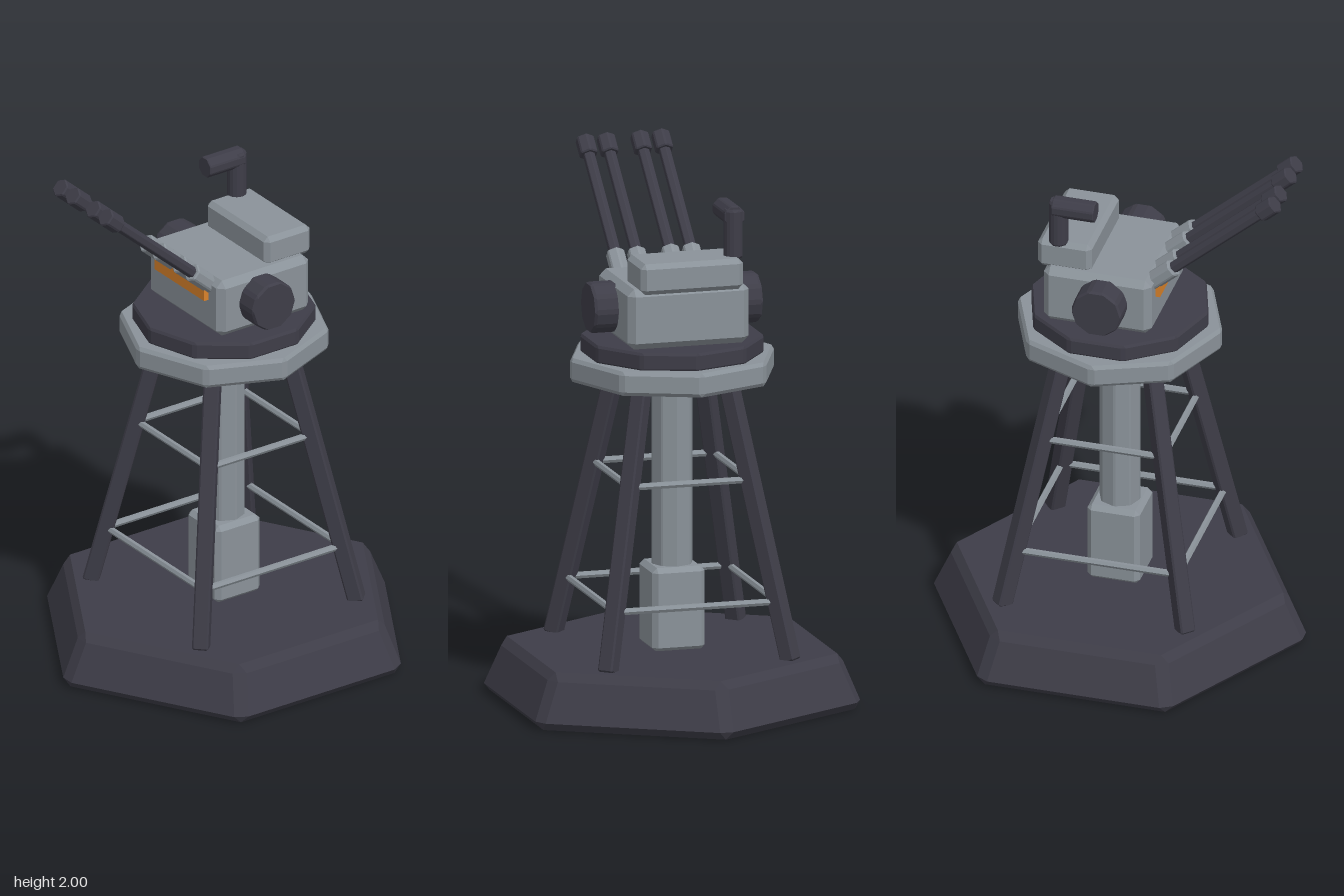
import * as THREE from 'three';
import { ConvexGeometry } from 'three/addons/geometries/ConvexGeometry.js';

const V = (x, y, z) => new THREE.Vector3(x, y, z);
const UP = V(0, 1, 0);

// Regular polygon with its first corner on +z
const ngon = (n, r, turn = 0) => Array.from({ length: n }, (_, i) => {
  const a = turn + (i / n) * Math.PI * 2;
  return V(Math.sin(a) * r, 0, Math.cos(a) * r);
});
const rect = (w, d) => [V(w / 2, 0, d / 2), V(w / 2, 0, -d / 2), V(-w / 2, 0, -d / 2), V(-w / 2, 0, d / 2)];

// Prism from y0 to y1 with every edge chamfered by b
function bevelled(bottom, top, y0, y1, b) {
  const points = [];
  for (const [corners, yEnd, yRing] of [[bottom, y0, y0 + b], [top, y1, y1 - b]]) {
    corners.forEach((c, i) => {
      const n = corners.length;
      const toPrev = corners[(i + n - 1) % n].clone().sub(c).setLength(b);
      const toNext = corners[(i + 1) % n].clone().sub(c).setLength(b);
      points.push(c.clone().add(toPrev).setY(yRing), c.clone().add(toNext).setY(yRing));
      points.push(c.clone().add(toPrev).add(toNext).setY(yEnd));
    });
  }
  return new ConvexGeometry(points);
}
const prism = (n, r, y0, y1, b, turn = 0) => bevelled(ngon(n, r, turn), ngon(n, r, turn), y0, y1, b);
const block = (w, d, y0, y1, b) => bevelled(rect(w, d), rect(w, d), y0, y1, b);

export function createModel() {
  const model = new THREE.Group();
  model.name = 'gunTower';

  const material = (name, color) => {
    const m = new THREE.MeshStandardMaterial({ color, flatShading: true });
    m.name = name;
    return m;
  };
  const dark = material('darkMetal', 0x3e3d48);
  const grey = material('greyMetal', 0x8a9299);
  const orange = material('orangeTrim', 0xd9822b);

  const add = (name, geometry, mat, x = 0, y = 0, z = 0, parent = model) => {
    const mesh = new THREE.Mesh(geometry, mat);
    mesh.name = name;
    mesh.position.set(x, y, z);
    parent.add(mesh);
    return mesh;
  };
  // Places a y-up geometry starting at point a, pointing at b
  const aim = (mesh, a, b) => {
    mesh.position.copy(a);
    mesh.quaternion.setFromUnitVectors(UP, b.clone().sub(a).normalize());
  };

  // Hexagonal foundation
  add('base', bevelled(ngon(6, 0.715), ngon(6, 0.65), 0, 0.205, 0.03), dark);

  // Central column and its footing
  add('columnFooting', block(0.2, 0.2, 0.2, 0.515, 0.018), grey);
  add('column', prism(8, 0.078, 0.5, 1.23, 0.005), grey);

  // Four splayed legs
  const legAt = (y) => 0.348 - 0.185 * (y - 0.2) / 1.03;
  for (const sx of [-1, 1]) for (const sz of [-1, 1]) {
    const foot = V(sx * legAt(0.2), 0.2, sz * legAt(0.2));
    const head = V(sx * legAt(1.23), 1.23, sz * legAt(1.23));
    const geometry = block(0.06, 0.06, 0, foot.distanceTo(head), 0.006).rotateY(Math.PI / 4);
    aim(add('leg', geometry, dark), foot, head);
  }

  // Two square frames of thin braces
  for (const y of [0.415, 0.86]) {
    const p = legAt(y);
    for (let i = 0; i < 4; i++) {
      const a = (i * Math.PI) / 2;
      const brace = add('brace', new THREE.CylinderGeometry(0.013, 0.013, 2 * p, 6).rotateZ(Math.PI / 2),
        grey, Math.sin(a) * p, y, Math.cos(a) * p);
      brace.rotation.y = a;
    }
  }

  // Platform and turntable
  add('platform', prism(8, 0.39, 1.215, 1.305, 0.014), grey);
  add('turntable', prism(10, 0.337, 1.3, 1.37, 0.01), dark);

  // Turret body with raised rear housing
  add('turretBody', block(0.462, 0.41, 1.37, 1.595, 0.025), grey, 0, 0, -0.025);
  add('rearHousing', block(0.39, 0.205, 1.58, 1.695, 0.018), grey, -0.003, 0, -0.157);

  // Side drums
  for (const s of [-1, 1]) {
    add('sideDrum', prism(10, 0.097, -0.05, 0.05, 0.01).rotateZ(Math.PI / 2), dark, s * 0.27, 1.49, 0);
  }

  // Periscope
  const periscope = new THREE.Group();
  periscope.name = 'periscope';
  model.add(periscope);
  add('periscopeTube', prism(8, 0.038, 1.685, 1.868, 0.008, Math.PI / 8), dark, -0.178, 0, -0.182, periscope);
  add('periscopeHead', prism(8, 0.041, -0.08, 0.08, 0.004, Math.PI / 8).rotateX(Math.PI / 2),
    dark, -0.18, 1.841, -0.12, periscope);

  // Orange strip under the guns
  add('gunMountStrip', new THREE.BoxGeometry(0.315, 0.055, 0.04), orange, -0.002, 1.53, 0.178);

  // Four raised guns
  const breech = V(0, 1.555, 0.16);
  const muzzleEnd = V(0, 1.972, 0.632);
  const length = breech.distanceTo(muzzleEnd);
  for (const x of [-0.144, -0.064, 0.064, 0.144]) {
    const gun = new THREE.Group();
    gun.name = 'gun';
    model.add(gun);
    aim(gun, breech, muzzleEnd);
    gun.position.x = x;
    add('gunSleeve', prism(6, 0.037, -0.02, 0.115, 0.005), grey, 0, 0, 0, gun);
    add('barrel', prism(6, 0.023, 0.1, length - 0.04, 0.002), dark, 0, 0, 0, gun);
    add('muzzle', prism(6, 0.037, length - 0.075, length, 0.005), dark, 0, 0, 0, gun);
  }

  return model;
}
